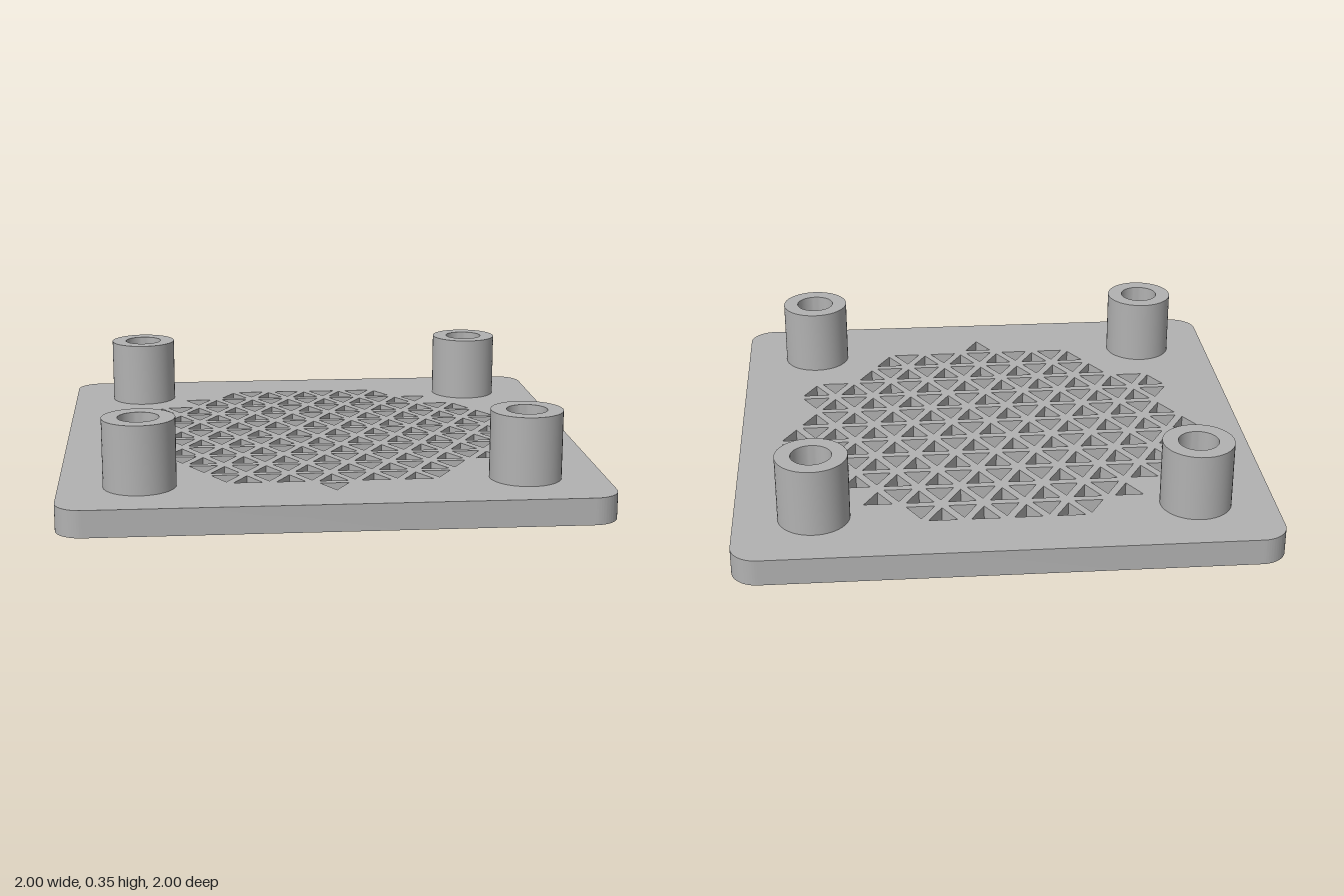
import * as THREE from 'three';
import { toCreasedNormals } from 'three/addons/utils/BufferGeometryUtils.js';

const PLATE = 0.1;         // plate thickness
const POST_POS = 0.705;    // post offset from the centre
const SINK_R = 0.15;       // countersink radius on the underside

// Triangular vent cells: row height, side and distance from cell edge to hole
const ROW_H = 0.1357, SIDE = ROW_H * 2 / Math.sqrt(3), INSET = 0.0147;
const FIRST_Z = -0.78;
// Outermost cell of each row, in half sides from the centre line
const ROW_REACH = [4, 6, 8, 9, 10, 10, 9, 9, 9, 6, 5, 0];

function roundedSquare(h, r) {
  const s = new THREE.Shape();
  s.absarc(h - r, h - r, r, 0, Math.PI / 2);
  s.absarc(r - h, h - r, r, Math.PI / 2, Math.PI);
  s.absarc(r - h, r - h, r, Math.PI, Math.PI * 1.5);
  s.absarc(h - r, r - h, r, Math.PI * 1.5, Math.PI * 2);
  s.closePath();
  return s;
}

function triangleHole(x, z, pointsBack) {
  const radius = (ROW_H / 3 - INSET) * 2;
  const start = pointsBack ? Math.PI / 2 : -Math.PI / 2;
  const corners = [0, 1, 2].map((i) => {
    const a = start - i * Math.PI * 2 / 3;
    return new THREE.Vector2(x + radius * Math.cos(a), -z + radius * Math.sin(a));
  });
  return new THREE.Path(corners);
}

function forEachCorner(fn) {
  for (const sx of [-1, 1]) for (const sz of [-1, 1]) fn(sx * POST_POS, sz * POST_POS);
}

export function createModel() {
  const group = new THREE.Group();
  group.name = 'ventCover';
  const grey = new THREE.MeshStandardMaterial({ color: 0xb2b2b2 });
  grey.name = 'grey';

  // Plate with triangular vent holes and openings for the posts
  const shape = roundedSquare(1, 0.1);
  ROW_REACH.forEach((reach, row) => {
    for (let m = -reach; m <= reach; m++) {
      const pointsBack = (m + row) % 2 === 0;
      const z = FIRST_Z + ROW_H * (row + (pointsBack ? 2 / 3 : 1 / 3));
      shape.holes.push(triangleHole(m * SIDE / 2, z, pointsBack));
    }
  });
  forEachCorner((x, z) => {
    shape.holes.push(new THREE.Path().absarc(x, -z, SINK_R, 0, Math.PI * 2, true));
  });
  const plateGeo = new THREE.ExtrudeGeometry(shape, { depth: PLATE, bevelEnabled: false, curveSegments: 24 });
  plateGeo.rotateX(-Math.PI / 2);
  const plate = new THREE.Mesh(toCreasedNormals(plateGeo, 0.5), grey);
  plate.name = 'ventPlate';
  group.add(plate);

  // Hollow posts, each with a countersunk bore from below
  const profile = [
    [SINK_R, PLATE], [0.133, PLATE], [0.133, 0.355], [0.075, 0.355], [0.075, 0.075], [SINK_R, 0],
  ].map(([r, y]) => new THREE.Vector2(r, y));
  const postGeo = toCreasedNormals(new THREE.LatheGeometry(profile, 48), 0.5);
  forEachCorner((x, z) => {
    const post = new THREE.Mesh(postGeo, grey);
    post.name = 'mountingPost';
    post.position.set(x, 0, z);
    group.add(post);
  });

  return group;
}
